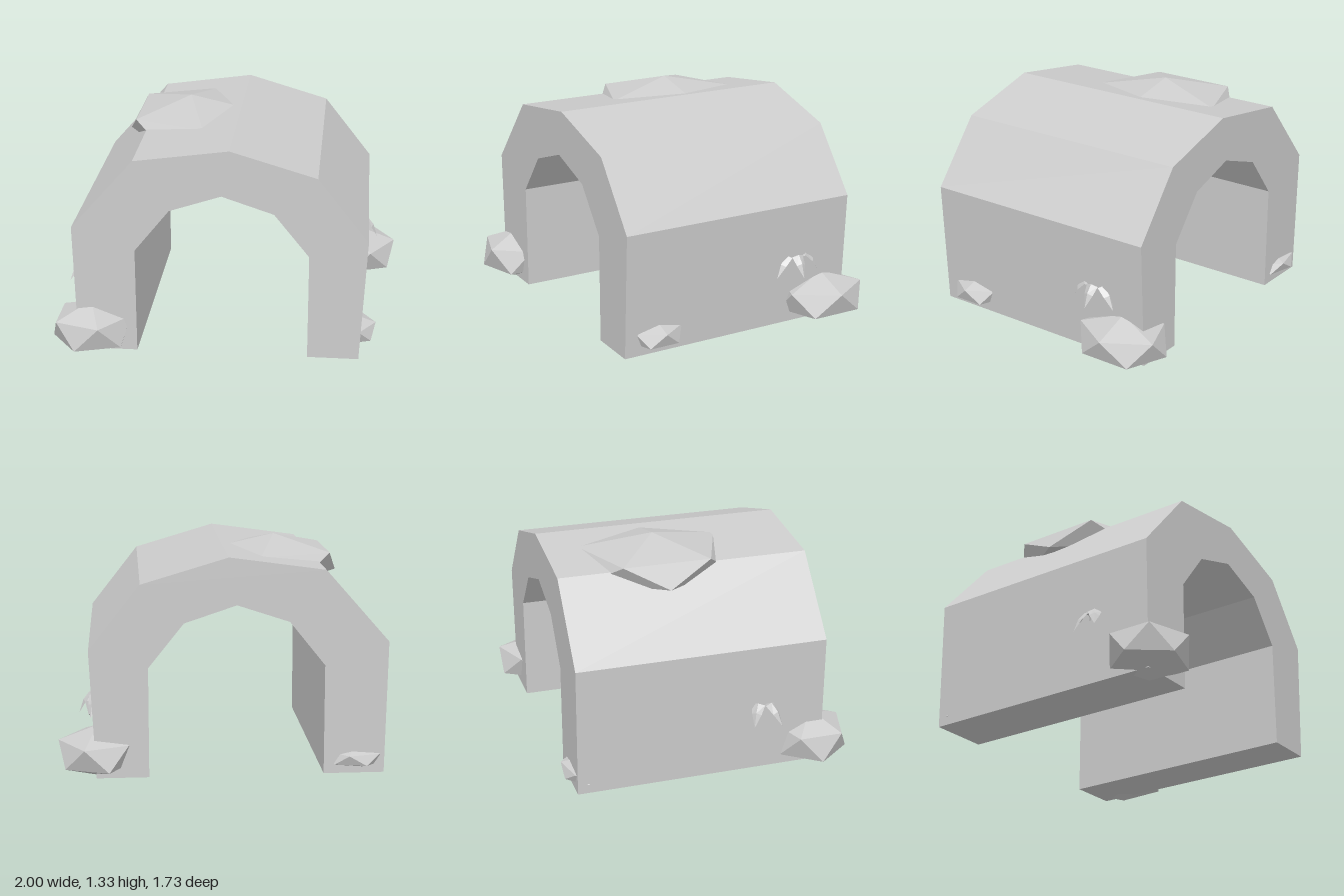
import * as THREE from 'three';

export function createModel() {
  const model = new THREE.Group();
  const stone = new THREE.MeshStandardMaterial({ color: 0xcccccc });
  stone.name = 'pale grey stone';
  stone.side = THREE.DoubleSide;

  const add = (name, geometry, parent = model) => {
    const mesh = new THREE.Mesh(geometry, stone);
    mesh.name = name;
    parent.add(mesh);
    return mesh;
  };

  // Faceted tunnel arch, extruded front to back
  const profile = [
    [-0.845, 0.04], [-0.86, 0.8], [-0.5, 1.21], [0.04, 1.285], [0.53, 1.14], [0.82, 0.77], [0.785, 0.04],
    [0.49, 0.04], [0.49, 0.67], [0.29, 0.92], [-0.005, 1.018], [-0.3, 0.92], [-0.5, 0.67], [-0.5, 0.04],
  ];
  const archShape = new THREE.Shape(profile.map(([x, y]) => new THREE.Vector2(x, y)));
  const arch = new THREE.ExtrudeGeometry(archShape, { depth: 1.465, bevelEnabled: false });
  arch.translate(0, 0, -0.762);
  add('tunnelArch', arch);

  // Rocks: squashed icosahedra standing on one point, given by centre, ring radii and half height
  const rock = (name, [x, y, z], rx, rz, h) => {
    const g = new THREE.IcosahedronGeometry(1, 0).toNonIndexed?.() ?? new THREE.IcosahedronGeometry(1, 0);
    g.rotateZ(-Math.atan(2 / (1 + Math.sqrt(5))));
    g.scale(rx / 0.894, h, rz / 0.894);
    g.translate(x, y, z);
    g.computeVertexNormals();
    add(name, g);
  };
  rock('frontBoulder', [-0.77, 0.165, 0.657], 0.23, 0.217, 0.16);
  rock('rearBoulder', [0.78, 0.163, -0.615], 0.22, 0.261, 0.148);
  rock('sideStone', [0.74, 0.136, 0.487], 0.14, 0.155, 0.086);
  rock('rearStone', [-0.69, 0.12, -0.7], 0.16, 0.115, 0.065);
  rock('roofSlab', [-0.27, 1.185, -0.15], 0.37, 0.434, 0.15);

  // Drooping blade: [distance along, height, half width], with a raised centre rib
  const stations = [[0, 0, 0.012], [0.28, 0.11, 0.03], [0.48, 0.125, 0.038], [0.78, 0.08, 0.028], [1, 0, 0]];
  const blade = (length) => {
    const points = [];
    const at = ([r, y, w], side) => [r * length - Math.abs(side) * 0.012, y - Math.abs(side) * 0.012 * (w > 0), side * w];
    for (let i = 0; i < stations.length - 1; i++) {
      const a = stations[i], b = stations[i + 1];
      for (const [s, t] of [[-1, 0], [0, 1]]) {
        const p = at(a, s), q = at(a, t);
        const u = b[2] ? at(b, s) : at(b, 0), v = b[2] ? at(b, t) : at(b, 0);
        points.push(...p, ...q, ...v);
        if (b[2]) points.push(...p, ...v, ...u);
      }
    }
    const g = new THREE.BufferGeometry();
    g.setAttribute('position', new THREE.Float32BufferAttribute(points, 3));
    g.computeVertexNormals();
    return g;
  };

  // Tufts rooted in the side walls, five blades around each
  const tuft = (name, position, lengths, startAngle) => {
    const group = new THREE.Group();
    group.name = name;
    group.position.set(...position);
    lengths.forEach((length, i) => {
      add('blade', blade(length), group).rotation.y = startAngle + (i * Math.PI * 2) / 5;
    });
    model.add(group);
  };
  tuft('leftTuft', [0.77, 0.335, -0.425], [0.115, 0.155, 0.13, 0.13, 0.15], 0);
  tuft('rightTuft', [-0.82, 0.335, 0.33], [0.13, 0.13, 0.12, 0.15, 0.13], 0);

  return model;
}
